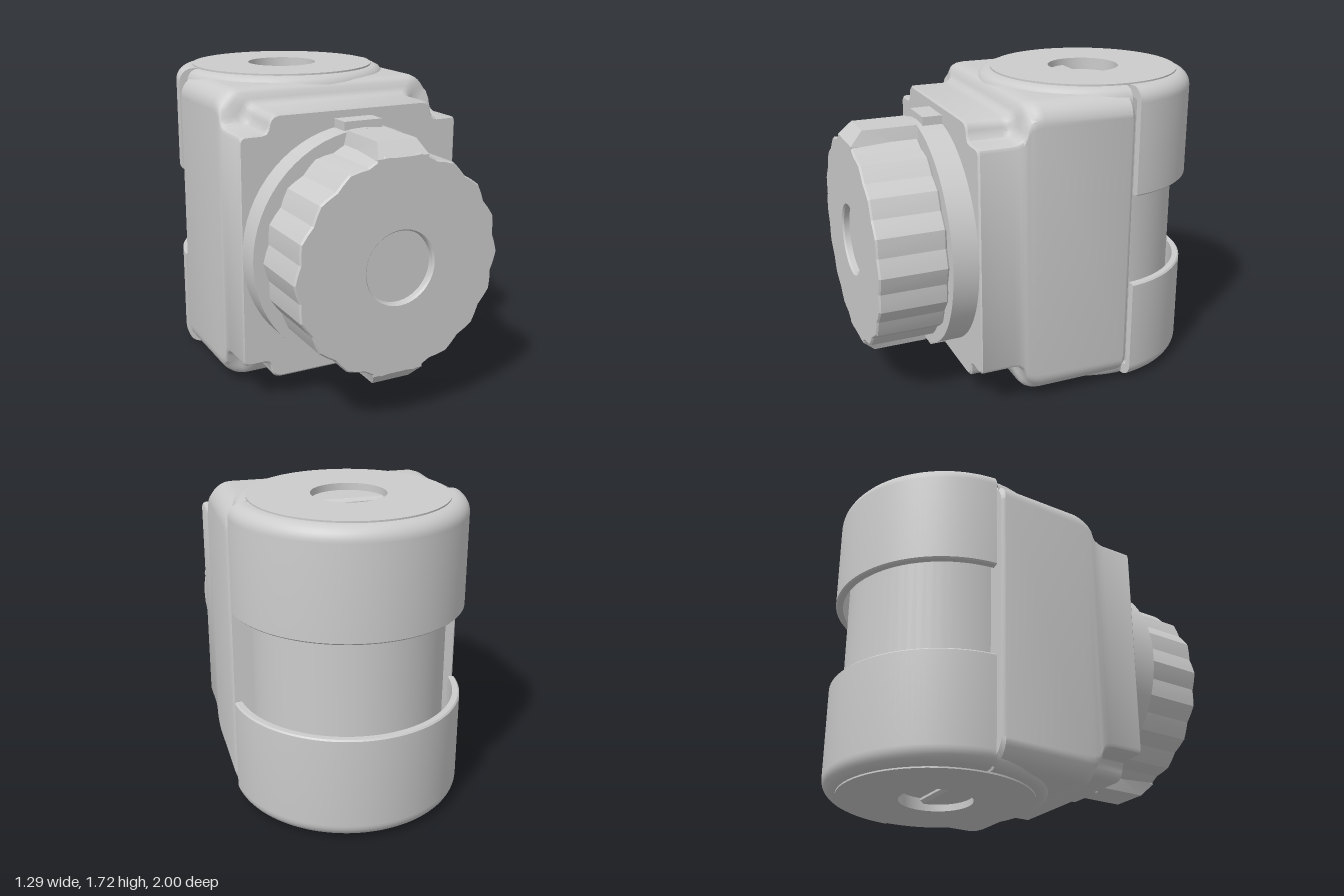
import * as THREE from 'three';
import { toCreasedNormals } from 'three/addons/utils/BufferGeometryUtils.js';

const MID = 0.86;   // height of the plane of symmetry
const AXIS_Z = -0.4; // vertical barrel axis
const grey = new THREE.MeshStandardMaterial({ color: 0xcccccc, side: THREE.DoubleSide });

function mesh(name, geo, crease = 0.6) {
  const m = new THREE.Mesh(toCreasedNormals(geo, crease), grey);
  m.name = name;
  return m;
}

const vecs = (pts) => pts.map(([x, y]) => new THREE.Vector2(x, y));

// Turned part about the y axis
const lathe = (pts, start = 0, length = Math.PI * 2, segments = 64) =>
  new THREE.LatheGeometry(vecs(pts), segments, start, length);

// Mirror a quarter outline into a full counter-clockwise loop
function fullLoop(q) {
  const r = [...q].reverse();
  return [
    ...q,
    ...r.map(([x, y]) => [-x, y]),
    ...q.map(([x, y]) => [-x, -y]),
    ...r.map(([x, y]) => [x, -y]),
  ];
}

// Housing: a rounded rectangle that blends forward into a plate with notched corners
function housingGeometry() {
  const notched = [[0.645, 0.6], [0.637, 0.617], [0.62, 0.625], [0.53, 0.625], [0.5, 0.633],
    [0.485, 0.655], [0.48, 0.68], [0.472, 0.703], [0.455, 0.718], [0.43, 0.725]];
  const rounded = notched.map((_, i) => {
    const a = (i / 9) * Math.PI / 2;
    return [0.525 + 0.12 * Math.cos(a), 0.7 + 0.12 * Math.sin(a)];
  });
  // z, blend from rounded to notched, scale
  const sections = [[-0.39, 0, 0.98], [-0.37, 0, 1], [0.13, 0, 1], [0.17, 0.04, 1], [0.2, 0.14, 1],
    [0.22, 0.32, 1], [0.23, 0.6, 1], [0.245, 0.82, 1], [0.27, 0.95, 1], [0.3, 1, 1],
    [0.48, 1, 1], [0.49, 1, 0.985]];
  const pos = [];
  const index = [];
  const n = notched.length * 4;
  for (const [z, t, s] of sections) {
    const q = rounded.map(([x, y], i) => [
      s * THREE.MathUtils.lerp(x, notched[i][0], t),
      s * THREE.MathUtils.lerp(y, notched[i][1], t),
    ]);
    for (const [x, y] of fullLoop(q)) pos.push(x, y, z);
  }
  const last = sections.length - 1;
  const back = (last + 1) * n;
  pos.push(0, 0, sections[0][0], 0, 0, sections[last][0]);
  for (let i = 0; i < n; i++) {
    const k = (i + 1) % n;
    for (let j = 0; j < last; j++) {
      const a = j * n + i, b = j * n + k;
      index.push(a, b, b + n, a, b + n, a + n);
    }
    index.push(back, k, i, back + 1, last * n + i, last * n + k);
  }
  const g = new THREE.BufferGeometry();
  g.setAttribute('position', new THREE.Float32BufferAttribute(pos, 3));
  g.setIndex(index);
  return g;
}

// Half shell wrapping the back of the barrel, with closed ends
function backCap() {
  const g = new THREE.Group();
  g.name = 'backCap';
  const R = 0.64, top = 0.85, fillet = 0.08;
  const profile = [[0.6, 0.26], [R - 0.008, 0.26], [R, 0.268]];
  for (let i = 0; i <= 8; i++) {
    const a = (i / 8) * Math.PI / 2;
    profile.push([R - fillet + fillet * Math.cos(a), top - fillet + fillet * Math.sin(a)]);
  }
  profile.push([0.5, top], [0.5, 0.81], [0.6, 0.78], [0.6, 0.26]);
  const cut = 0.094;
  const start = Math.PI / 2 + cut, length = Math.PI - 2 * cut;
  g.add(mesh('capShell', lathe(profile, start, length)));
  for (const phi of [start, start + length]) {
    const end = mesh('capEnd', new THREE.ShapeGeometry(new THREE.Shape(vecs(profile.slice(0, -1)))));
    end.rotation.y = phi - Math.PI / 2;
    g.add(end);
  }
  g.position.z = -0.36;
  return g;
}

// Grip rib: chamfered at the front, flared at the foot
function gripRib() {
  const shape = new THREE.Shape(vecs([[0.63, 0.5], [1, 0.5], [1, 0.565], [0.93, 0.637], [0.63, 0.637]]));
  const geo = new THREE.ExtrudeGeometry(shape, { depth: 0.22, bevelEnabled: false });
  geo.translate(0, 0, -0.11);
  geo.rotateY(-Math.PI / 2);
  const p = geo.attributes.position;
  for (let i = 0; i < p.count; i++) if (p.getY(i) < 0.6) p.setX(i, p.getX(i) * 1.3);
  return mesh('gripRib', geo, 0.3);
}

// Scalloped knob with a shallow central recess
function frontKnob() {
  const g = new THREE.Group();
  g.name = 'frontKnob';
  const outline = [];
  for (let i = 0; i < 72; i++) {
    const a = (i / 72) * Math.PI * 2;
    const r = 0.567 + 0.011 * Math.cos(18 * a);
    outline.push([r * Math.cos(a), r * Math.sin(a)]);
  }
  const shape = new THREE.Shape(vecs(outline));
  shape.holes.push(new THREE.Path().absarc(0, 0, 0.2, 0, Math.PI * 2, true));
  const grip = mesh('scallopedGrip', new THREE.ExtrudeGeometry(shape, {
    depth: 0.35, bevelThickness: 0.01, bevelSize: 0.008, bevelSegments: 1, curveSegments: 24,
  }), 0.2);
  grip.position.z = 0.64;
  const floor = mesh('recessFloor', new THREE.CircleGeometry(0.21, 48));
  floor.position.z = 0.96;
  g.add(grip, floor);
  return g;
}

export function createModel() {
  const model = new THREE.Group();
  model.name = 'pivotHousing';
  const body = new THREE.Group();
  body.name = 'body';
  body.position.y = MID;
  model.add(body);

  body.add(mesh('housing', housingGeometry()));

  // Vertical barrel with a recess in each end
  const barrel = mesh('barrel', lathe([[0, -0.79], [0.2, -0.79], [0.2, -0.858], [0.53, -0.858],
    [0.53, 0.858], [0.2, 0.858], [0.2, 0.79], [0, 0.79]]));
  barrel.position.z = AXIS_Z;
  body.add(barrel);

  // Front flange and its knob
  const flange = mesh('frontFlange', new THREE.CylinderGeometry(0.638, 0.638, 0.16, 64));
  flange.rotation.x = Math.PI / 2;
  flange.position.z = 0.55;
  body.add(flange, frontKnob());

  // Parts repeated at top and bottom
  for (const turn of [0, Math.PI]) {
    const end = new THREE.Group();
    end.name = turn ? 'lowerEnd' : 'upperEnd';
    end.rotation.z = turn;

    // Collar blending the barrel into the housing
    const collar = mesh('barrelCollar', lathe([[0.6, 0.7], [0.6, 0.78], [0.593, 0.81], [0.575, 0.834],
      [0.55, 0.847], [0.5, 0.85]], -Math.PI / 2, Math.PI));
    collar.position.z = AXIS_Z + 0.01;

    const tab = mesh('indexTab', new THREE.BoxGeometry(0.22, 0.12, 0.11));
    tab.position.set(0, 0.615, 0.545);

    end.add(collar, backCap(), tab, gripRib());
    body.add(end);
  }
  return model;
}
